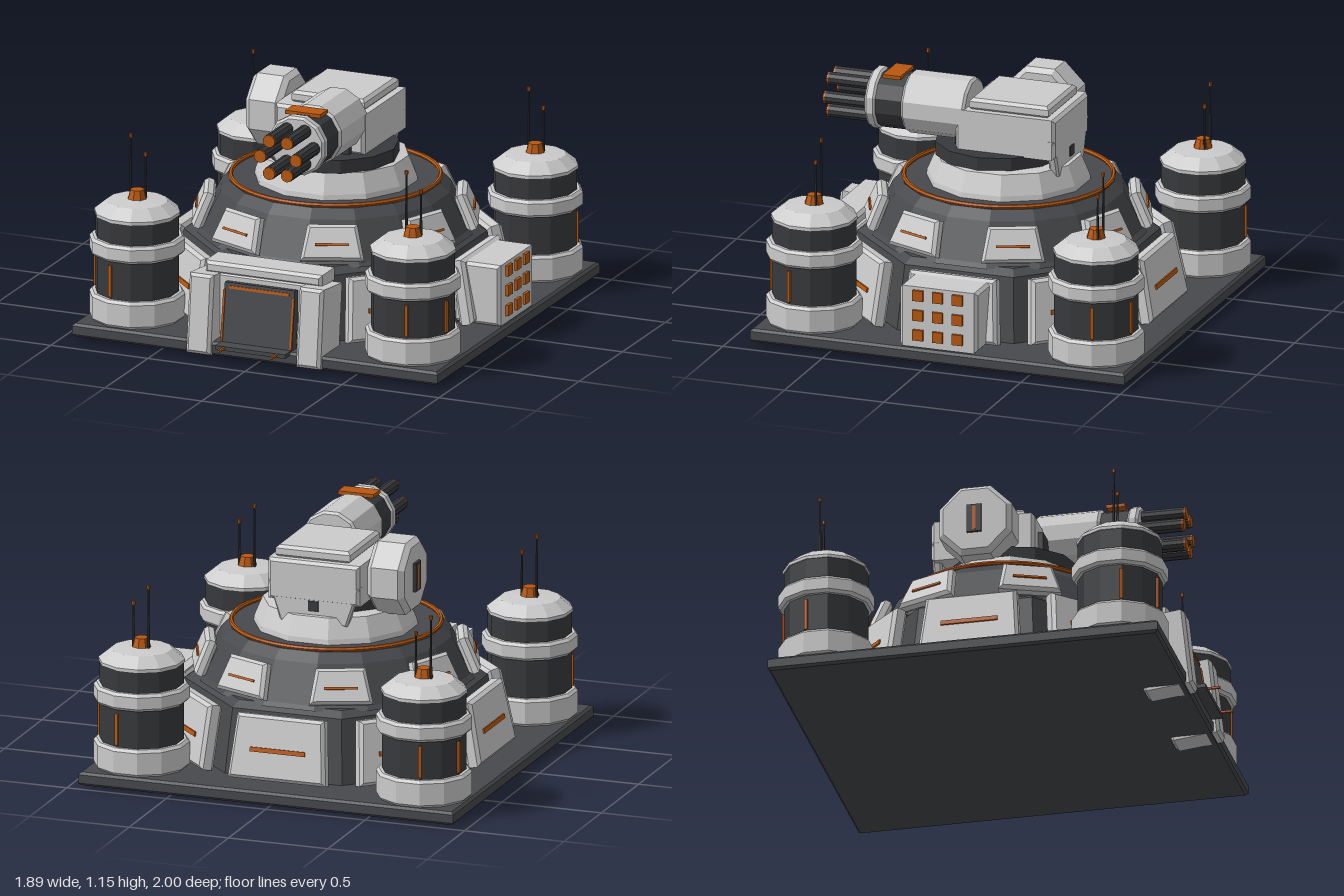
import * as THREE from 'three';

const mat = (color) => new THREE.MeshStandardMaterial({ color, flatShading: true });
const GREY = mat(0xcccccc), DARK = mat(0x47494c), BLACK = mat(0x38393c), RUST = mat(0xb8580f);

export function createModel() {
  const root = new THREE.Group();

  function add(parent, name, geo, material, x = 0, y = 0, z = 0) {
    const m = new THREE.Mesh(geo, material);
    m.name = name;
    m.position.set(x, y, z);
    parent.add(m);
    return m;
  }
  function group(parent, name, x = 0, y = 0, z = 0) {
    const g = new THREE.Group();
    g.name = name;
    g.position.set(x, y, z);
    parent.add(g);
    return g;
  }
  const box = (w, h, d) => new THREE.BoxGeometry(w, h, d);

  // Box with chamfered edges; the top may be narrower than the bottom
  function chamfer(w, h, d, b = 0.015, topW = w) {
    const x0 = w / 2 - b, x1 = topW / 2 - b, y = h / 2 - b;
    const s = new THREE.Shape([[-x0, -y], [x0, -y], [x1, y], [-x1, y]].map((p) => new THREE.Vector2(...p)));
    const g = new THREE.ExtrudeGeometry(s, { depth: d - 2 * b, bevelThickness: b, bevelSize: b, bevelSegments: 1 });
    return g.translate(0, 0, -d / 2 + b);
  }
  // Faceted solid of revolution whose flat sides face the axes when turn is half a side
  function lathe(points, sides, turn = Math.PI / sides) {
    return new THREE.LatheGeometry(points.map((p) => new THREE.Vector2(...p)), sides).rotateY(turn);
  }
  // Faceted cylinder lying along z, chamfered at both ends
  function drum(r, len, sides, b = 0.012) {
    const h = len / 2;
    return lathe([[0, -h], [r - b, -h], [r, -h + b], [r, h - b], [r - b, h], [0, h]], sides).rotateX(Math.PI / 2);
  }

  // Base slab
  add(root, 'baseSlab', chamfer(1.885, 1.885, 0.065, 0.012).rotateX(-Math.PI / 2), DARK, 0, 0.047, -0.057);

  // Bunker: octagonal skirt, upper dome, rim ring
  const bunker = group(root, 'bunker', -0.003, 0, -0.06);
  add(bunker, 'skirt', lathe([[0, 0.07], [0.77, 0.07], [0.715, 0.39], [0.67, 0.42], [0, 0.42]], 8), DARK);
  add(bunker, 'dome', lathe([[0.66, 0.41], [0.64, 0.43], [0.55, 0.61], [0.505, 0.655], [0, 0.655]], 16), DARK);
  add(bunker, 'rimRing', new THREE.TorusGeometry(0.495, 0.011, 6, 48).rotateX(Math.PI / 2), RUST, 0, 0.667, 0);

  // Sloped armour plates with slots
  function plate(name, angle, r, y, w, topW, h, d, tilt, slot) {
    const arm = group(bunker, name, 0, 0, 0);
    arm.rotation.y = angle;
    const p = group(arm, name + 'Tilt', 0, y, r);
    p.rotation.x = -tilt;
    add(p, name + 'Panel', chamfer(w, h, d, 0.016, topW), GREY);
    if (slot) add(p, name + 'Slot', box(slot, h < 0.25 ? 0.012 : 0.022, 0.012), RUST, 0, -0.01, d / 2 + 0.002);
  }
  for (let i = 1; i < 8; i++)
    plate('lowerPlate', i * Math.PI / 4, 0.75, 0.24, 0.49, 0.44, 0.31, 0.075, 0.2, i === 2 ? 0 : 0.275);
  for (let i = 0; i < 8; i++)
    plate('upperPlate', (i + 0.5) * Math.PI / 4, 0.62, 0.52, 0.3, 0.24, 0.175, 0.06, 0.4, 0.16);

  // Light box on the left side
  const lights = group(root, 'lightBox', 0.8, 0.235, -0.057);
  add(lights, 'lightHousing', chamfer(0.24, 0.3, 0.39), GREY, 0.01, 0, 0);
  for (let i = -1; i <= 1; i++)
    for (let j = -1; j <= 1; j++)
      add(lights, 'light', box(0.025, 0.052, 0.052), RUST, 0.132, 0.01 + j * 0.098, i * 0.099);

  // Gatehouse
  const gate = group(root, 'gatehouse');
  add(gate, 'gateBody', chamfer(0.56, 0.32, 0.2), GREY, 0, 0.24, 0.69);
  add(gate, 'lintel', chamfer(0.6, 0.06, 0.17), GREY, 0, 0.415, 0.705);
  for (const s of [-1, 1]) {
    const pillar = add(gate, 'pillar', chamfer(0.125, 0.385, 0.24), GREY, s * 0.283, 0.2, 0.775);
    pillar.rotation.x = -0.11;
    add(gate, 'rampRail', box(0.01, 0.01, 0.08), RUST, s * 0.135, 0.078, 0.96);
  }
  const door = group(gate, 'door', 0, 0.215, 0.82);
  door.rotation.x = -0.15;
  add(door, 'doorPanel', box(0.36, 0.3, 0.06), DARK);
  add(door, 'doorTrim', box(0.31, 0.014, 0.012), RUST, 0, 0.128, 0.03);
  for (const s of [-1, 1]) add(door, 'doorEdge', box(0.01, 0.25, 0.012), RUST, s * 0.178, -0.01, 0.03);
  add(gate, 'ramp', box(0.36, 0.02, 0.16), DARK, 0, 0.075, 0.86);

  // Corner towers
  for (const sx of [-1, 1]) for (const sz of [-1, 1]) {
    const t = group(root, 'tower', sx * 0.71, 0, -0.06 + sz * 0.71);
    add(t, 'towerBody', lathe([[0.2, 0.07], [0.2, 0.6], [0, 0.6]], 12), BLACK);
    for (const [y0, y1] of [[0.078, 0.212], [0.4, 0.485]])
      add(t, 'towerBand', lathe([[0.19, y0], [0.215, y0], [0.228, y0 + 0.014], [0.228, y1 - 0.014], [0.215, y1], [0.19, y1]], 12), GREY);
    add(t, 'towerCap', lathe([[0.19, 0.588], [0.205, 0.588], [0.205, 0.603], [0.145, 0.652], [0, 0.665]], 12), GREY);
    add(t, 'antennaBase', new THREE.CylinderGeometry(0.034, 0.048, 0.05, 8), RUST, 0, 0.68, 0);
    for (const [x, top] of [[-0.042, 0.96], [0.033, 0.875]]) {
      add(t, 'antennaRod', new THREE.CylinderGeometry(0.004, 0.007, top - 0.66, 6), BLACK, x, (top + 0.66) / 2, -0.02);
      add(t, 'antennaTip', new THREE.CylinderGeometry(0.009, 0.009, 0.018, 6), RUST, x, top, -0.02);
    }
    for (const off of [-1, 1]) {
      const a = Math.atan2(sx, sz) + off * Math.PI / 6;
      const strip = add(t, 'towerStrip', box(0.016, 0.155, 0.024), RUST, Math.sin(a) * 0.196, 0.3, Math.cos(a) * 0.196);
      strip.rotation.y = a;
    }
  }

  // Turret base
  const turret = group(root, 'turret');
  add(turret, 'turretCollar', lathe([[0.39, 0.65], [0.385, 0.68], [0.345, 0.775], [0.3, 0.78], [0, 0.78]], 12), GREY, 0, 0, -0.06);
  add(turret, 'turntable', new THREE.CylinderGeometry(0.31, 0.31, 0.065, 12), BLACK, 0.005, 0.808, -0.02);

  // Turret body, rear skirt, hatch
  add(turret, 'turretBody', chamfer(0.46, 0.2, 0.5), GREY, -0.005, 0.935, -0.125);
  add(turret, 'rearSkirt', chamfer(0.34, 0.2, 0.045, 0.01, 0.46).translate(0, 0, 0), GREY, -0.005, 0.83, -0.352);
  add(turret, 'rearPort', box(0.05, 0.05, 0.02), BLACK, -0.005, 0.82, -0.37);
  add(turret, 'hatch', chamfer(0.375, 0.4, 0.06).rotateX(-Math.PI / 2), GREY, 0.012, 1.06, -0.137);
  add(turret, 'gunMount', box(0.32, 0.13, 0.1), BLACK, 0, 0.9, 0.1);

  // Ammunition drum on the right side
  add(turret, 'ammoDrum', drum(0.19, 0.185, 8, 0.025).rotateY(Math.PI / 2), GREY, -0.332, 0.942, -0.12);
  add(turret, 'drumPort', box(0.025, 0.14, 0.07), BLACK, -0.426, 0.942, -0.12);
  add(turret, 'drumPortTrim', box(0.03, 0.12, 0.018), RUST, -0.425, 0.942, -0.12);

  // Rotary gun
  const gun = group(turret, 'rotaryGun', 0.08, 1.0, 0);
  add(gun, 'gunHousing', drum(0.15, 0.32, 12), GREY, 0, 0, 0.24);
  add(gun, 'gunSleeve', drum(0.138, 0.18, 12), BLACK, 0, 0, 0.46);
  add(gun, 'gunCollar', drum(0.148, 0.055, 12), GREY, 0, 0, 0.557);
  add(gun, 'gunTopPlate', box(0.18, 0.018, 0.09), RUST, 0, 0.136, 0.465);
  for (let i = 0; i < 6; i++) {
    const a = i * Math.PI / 3, x = Math.cos(a) * 0.092, y = Math.sin(a) * 0.092;
    add(gun, 'barrel', new THREE.CylinderGeometry(0.032, 0.032, 0.24, 10).rotateX(Math.PI / 2), BLACK, x, y, 0.67);
    add(gun, 'barrelTip', new THREE.CylinderGeometry(0.031, 0.031, 0.014, 10).rotateX(Math.PI / 2), RUST, x, y, 0.793);
  }
  return root;
}
